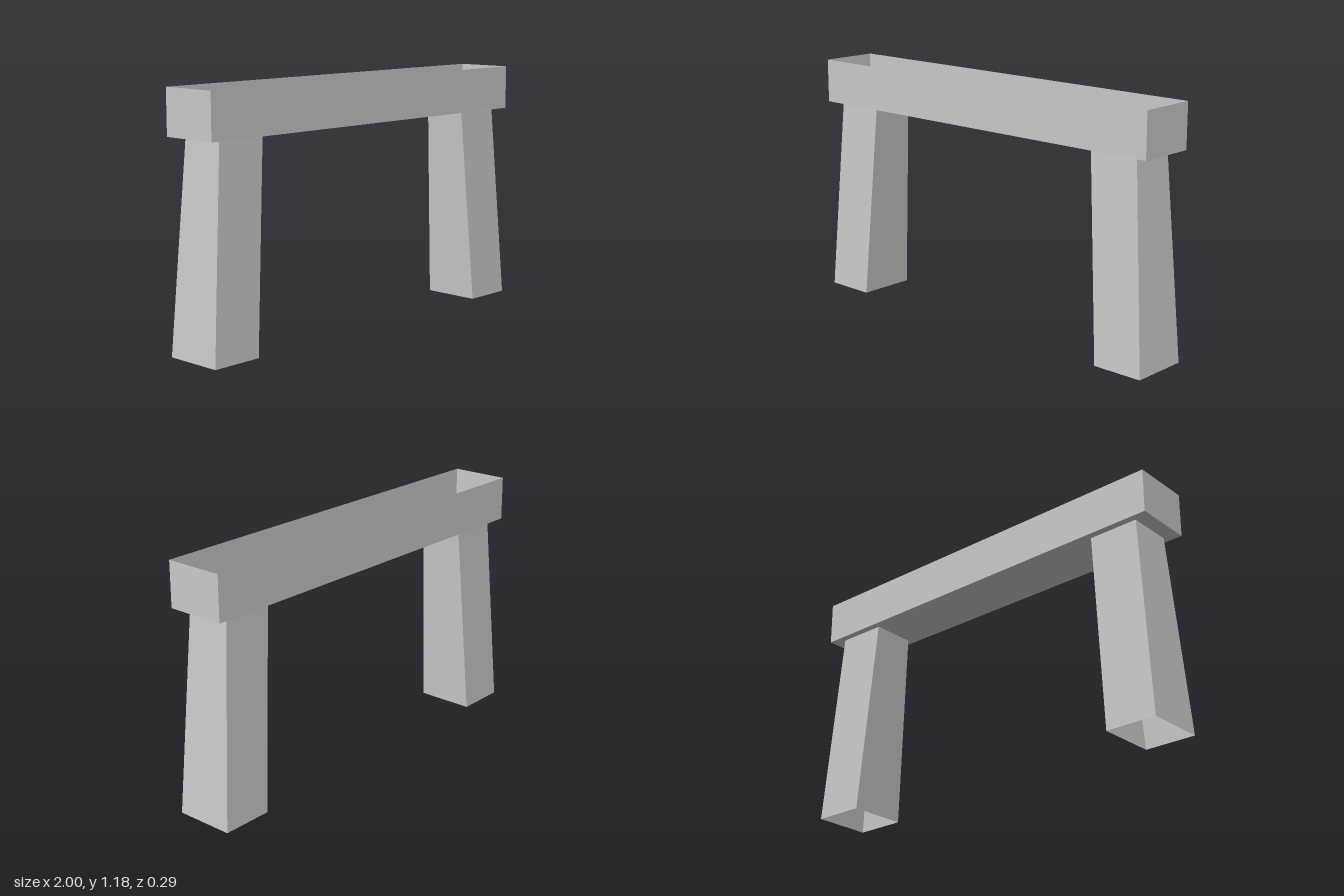
import * as THREE from 'three';

const material = new THREE.MeshStandardMaterial({ color: 0xcccccc, flatShading: true, side: THREE.DoubleSide });

// Four corners of a level rectangle, counter-clockwise seen from above
const ring = (x0, x1, halfZ, y) => [[x0, y, halfZ], [x1, y, halfZ], [x1, y, -halfZ], [x0, y, -halfZ]];

// Open four-sided sleeve between a lower and an upper ring
function sleeve(name, low, high) {
  const points = [];
  for (let i = 0; i < 4; i++) {
    const j = (i + 1) % 4;
    points.push(...low[i], ...low[j], ...high[j], ...low[i], ...high[j], ...high[i]);
  }
  const geometry = new THREE.BufferGeometry();
  geometry.setAttribute('position', new THREE.Float32BufferAttribute(points, 3));
  geometry.computeVertexNormals();
  const mesh = new THREE.Mesh(geometry, material);
  mesh.name = name;
  return mesh;
}

export function createModel() {
  const model = new THREE.Group();
  model.name = 'trestle';
  const floorY = 0.967, topY = 1.18, halfZ = 0.143, legTopZ = 0.108;

  // Trough walls, open at the top
  model.add(sleeve('beamWalls', ring(-1, 1, halfZ, floorY), ring(-1, 1, halfZ, topY)));

  // Trough floor, to be pierced where the legs meet it
  const rectangle = (x0, x1, z) =>
    [[x0, -z], [x1, -z], [x1, z], [x0, z]].map(([x, y]) => new THREE.Vector2(x, y));
  const floorShape = new THREE.Shape(rectangle(-1, 1, halfZ));

  // Hollow legs, splayed outward and widening to the foot
  for (const side of [1, -1]) {
    const [bottom0, bottom1] = [0.75 * side, side].sort((a, b) => a - b);
    const [top0, top1] = [0.68 * side, 0.927 * side].sort((a, b) => a - b);
    model.add(sleeve(side > 0 ? 'leftLeg' : 'rightLeg',
      ring(bottom0, bottom1, halfZ, 0), ring(top0, top1, legTopZ, floorY)));
    floorShape.holes.push(new THREE.Path(rectangle(top0, top1, legTopZ).reverse()));
  }

  const floor = new THREE.Mesh(new THREE.ShapeGeometry(floorShape).rotateX(Math.PI / 2), material);
  floor.name = 'beamFloor';
  floor.position.y = floorY;
  model.add(floor);
  return model;
}
